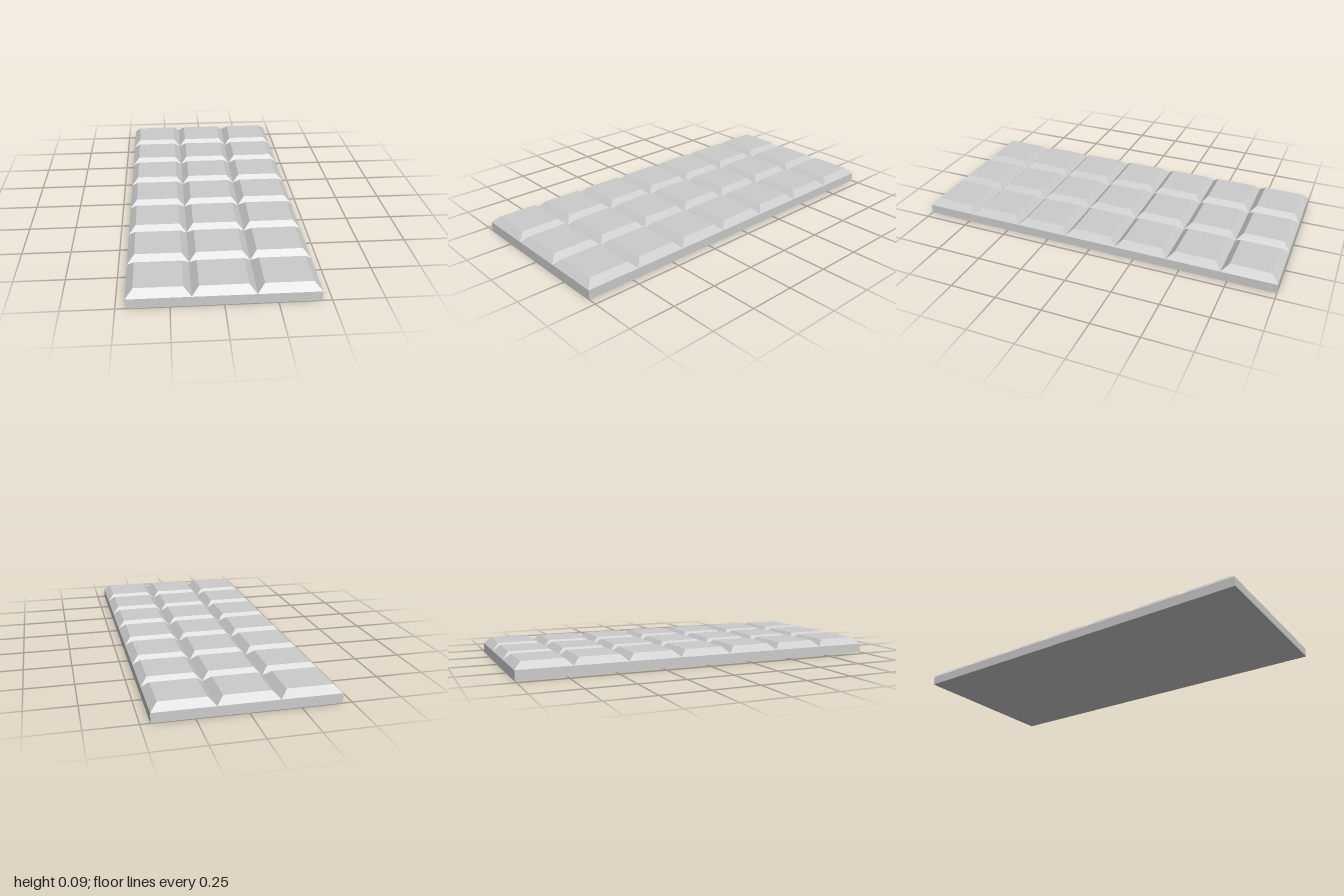
import * as THREE from 'three';

const COLS = 3, ROWS = 7;
const WIDTH = 0.906, LENGTH = 2;
const BASE_H = 0.05, TILE_H = 0.035, BEVEL = 0.036;

// Box whose top face is drawn in by the bevel on all four sides
function bevelledTile(w, h, d, bevel) {
  const geo = new THREE.BoxGeometry(w, h, d);
  const p = geo.attributes.position;
  for (let i = 0; i < p.count; i++) {
    if (p.getY(i) > 0) {
      p.setX(i, p.getX(i) - Math.sign(p.getX(i)) * bevel);
      p.setZ(i, p.getZ(i) - Math.sign(p.getZ(i)) * bevel);
    }
  }
  geo.computeVertexNormals();
  return geo;
}

export function createModel() {
  const group = new THREE.Group();
  group.name = 'segmentedBar';
  const material = new THREE.MeshStandardMaterial({ color: 0xcccccc, flatShading: true });

  // Flat slab under the segments
  const base = new THREE.Mesh(new THREE.BoxGeometry(WIDTH, BASE_H, LENGTH), material);
  base.name = 'base';
  base.position.y = BASE_H / 2;
  group.add(base);

  // Grid of bevelled segments meeting in V-shaped grooves
  const segments = new THREE.Group();
  segments.name = 'segments';
  const w = WIDTH / COLS, d = LENGTH / ROWS;
  const tile = bevelledTile(w, TILE_H, d, BEVEL);
  for (let r = 0; r < ROWS; r++) {
    for (let c = 0; c < COLS; c++) {
      const segment = new THREE.Mesh(tile, material);
      segment.name = `segment_${r + 1}_${c + 1}`;
      segment.position.set(
        (c - (COLS - 1) / 2) * w,
        BASE_H + TILE_H / 2,
        (r - (ROWS - 1) / 2) * d
      );
      segments.add(segment);
    }
  }
  group.add(segments);
  return group;
}
